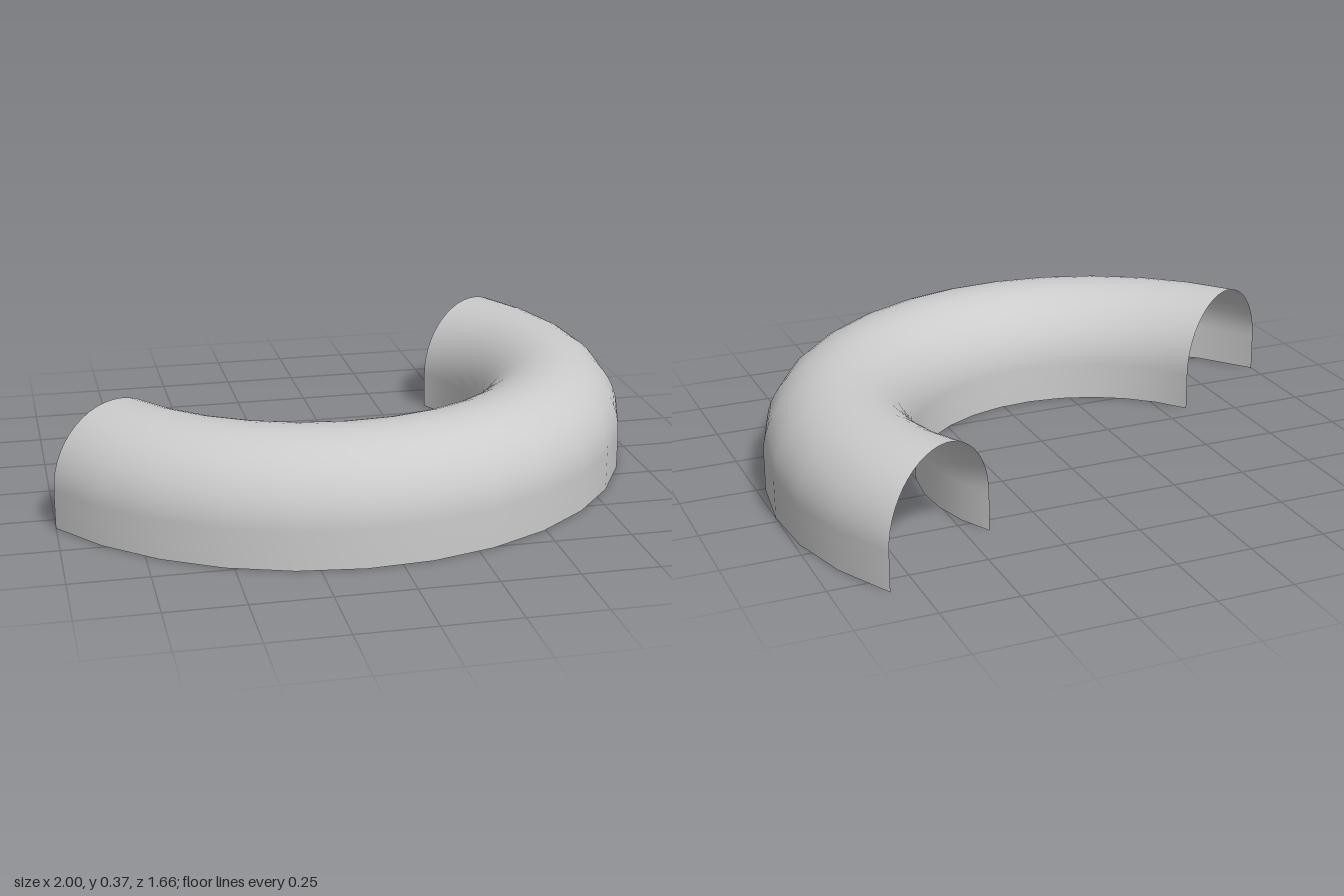
import * as THREE from 'three';

// Open-ended tunnel: an arch profile swept through half a turn.
export function createModel() {
  const group = new THREE.Group();
  group.name = 'curvedTunnel';

  const outer = 1.083, inner = 0.598, height = 0.37;
  const radius = (outer - inner) / 2, middle = (outer + inner) / 2;
  const wall = height - radius;

  // Arch: outer wall up, round vault over, inner wall down
  const profile = [new THREE.Vector2(outer, 0)];
  const steps = 24;
  for (let i = 0; i <= steps; i++) {
    const a = (i / steps) * Math.PI;
    profile.push(new THREE.Vector2(middle + radius * Math.cos(a), wall + radius * Math.sin(a)));
  }
  profile.push(new THREE.Vector2(inner, 0));

  // Thin shell, open below and at both ends
  const shell = new THREE.Mesh(
    new THREE.LatheGeometry(profile, 16, THREE.MathUtils.degToRad(-57.9), Math.PI),
    new THREE.MeshStandardMaterial({ color: 0xcccccc, side: THREE.DoubleSide })
  );
  shell.name = 'tunnelShell';
  shell.position.set(-0.083, 0, -0.2535);
  group.add(shell);
  return group;
}
